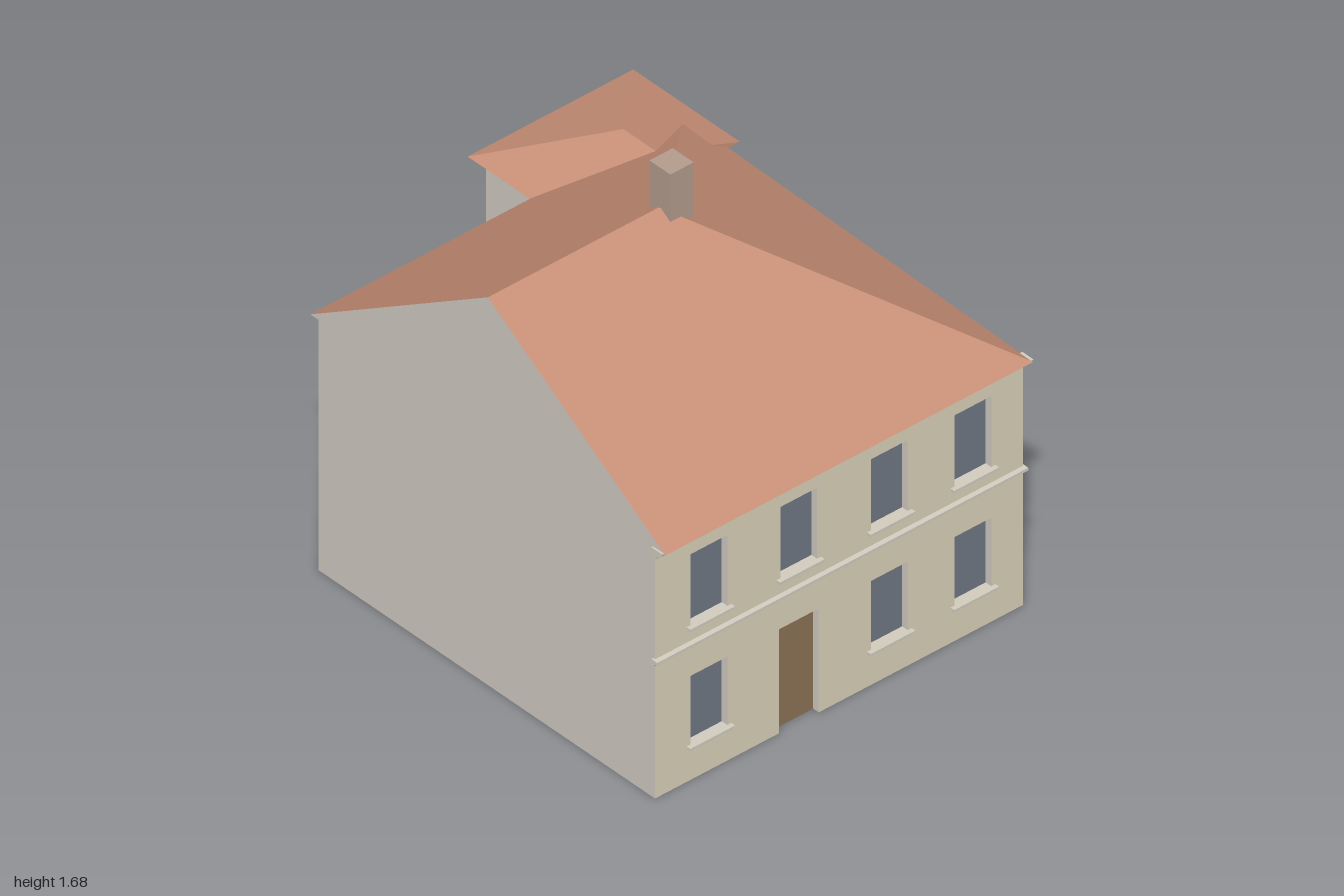
import * as THREE from 'three';

const mat = (color) => new THREE.MeshStandardMaterial({ color, flatShading: true });

// Closed faceted solid from corner points and convex faces (counter-clockwise from outside)
function facets(points, faces) {
  const pos = [];
  for (const f of faces)
    for (let i = 1; i < f.length - 1; i++)
      for (const k of [f[0], f[i], f[i + 1]]) pos.push(...points[k]);
  const g = new THREE.BufferGeometry();
  g.setAttribute('position', new THREE.Float32BufferAttribute(pos, 3));
  g.computeVertexNormals();
  return g;
}

const shapeOf = (pts) => new THREE.Shape(pts.map(([x, y]) => new THREE.Vector2(x, y)));
const rectPath = (x0, y0, x1, y1) => shapeOf([[x0, y0], [x0, y1], [x1, y1], [x1, y0]]);

export function createModel() {
  const house = new THREE.Group();
  house.name = 'house';
  const front = mat(0xd8d0b8), side = mat(0xd0cbc2), roof = mat(0xc88f76);
  const trim = mat(0xd2ccbe), glass = mat(0x707784), wood = mat(0x8c7254), brick = mat(0xb39c8d);

  const add = (name, geometry, material) => {
    const m = new THREE.Mesh(geometry, material);
    m.name = name;
    house.add(m);
    return m;
  };
  const box = (name, x0, x1, y0, y1, z0, z1, material) => {
    const m = add(name, new THREE.BoxGeometry(x1 - x0, y1 - y0, z1 - z0), material);
    m.position.set((x0 + x1) / 2, (y0 + y1) / 2, (z0 + z1) / 2);
  };

  const eave = 0.987, left = -0.81, right = 0.74, wallZ = 0.95, recess = 0.03;

  // Walls: slightly skewed footprint with the rear wing, drawn as (x, -z)
  const plan = [[left, -wallZ + recess], [right, -wallZ + recess], [0.77, 0.945],
    [0.16, 0.96], [0.16, 0.66], [left, 0.66]];
  const walls = new THREE.ExtrudeGeometry(shapeOf(plan), { depth: eave, bevelEnabled: false });
  walls.rotateX(-Math.PI / 2);
  add('walls', walls, side);

  // Facade with a door notch and window openings
  const doorX = [-0.287, -0.12], doorTop = 0.41;
  const facade = shapeOf([[left, 0], [doorX[0], 0], [doorX[0], doorTop], [doorX[1], doorTop],
    [doorX[1], 0], [right, 0], [right, eave], [left, eave]]);
  const windowXs = [-0.66, -0.282, 0.1, 0.452], w = 0.155;
  const openings = [];
  windowXs.forEach((x, i) => {
    openings.push([x, 0.61, 0.89]);
    if (i !== 1) openings.push([x, 0.14, 0.41]);
  });
  for (const [x, y0, y1] of openings) facade.holes.push(rectPath(x, y0, x + w, y1));
  const facadeGeo = new THREE.ExtrudeGeometry(facade, { depth: recess, bevelEnabled: false });
  facadeGeo.translate(0, 0, wallZ - recess);
  add('facade', facadeGeo, [front, side]);

  // Window panes, sills and door
  const paneZ = wallZ - recess;
  for (const [x, y0, y1] of openings) {
    box('windowPane', x, x + w, y0, y1, paneZ - 0.01, paneZ + 0.003, glass);
    box('windowSill', x - 0.017, x + w + 0.017, y0 - 0.004, y0, wallZ - recess, wallZ + 0.018, trim);
    box('windowSill', x - 0.014, x + w + 0.014, y0 - 0.014, y0 - 0.004, wallZ - 0.01, wallZ + 0.014, trim);
  }
  box('door', doorX[0], doorX[1], 0, doorTop, paneZ - 0.01, paneZ + 0.003, wood);

  // Moulded bands: profile in (z, y) swept along x
  const band = (name, profile) => {
    const x0 = left - 0.007, x1 = right + 0.007;
    const g = new THREE.ExtrudeGeometry(shapeOf(profile.map(([z, y]) => [-z, y]).reverse()),
      { depth: x1 - x0, bevelEnabled: false });
    g.rotateY(Math.PI / 2);
    g.translate(x0, 0, 0);
    add(name, g, trim);
  };
  band('stringCourse', [[0.94, 0.525], [0.952, 0.525], [0.958, 0.535], [0.968, 0.537],
    [0.968, 0.548], [0.94, 0.55]]);
  band('cornice', [[0.94, 0.953], [0.962, 0.953], [0.964, 0.965], [0.975, 0.97],
    [0.99, 0.978], [0.994, 0.99], [0.94, 0.99]]);

  // Main roof: gable on the left, hip on the right
  const mainPts = [[left, eave, 1], [right, eave, 1], [0.768, eave, -0.7], [left, eave, -0.7],
    [left, 1.53, 0.15], [-0.09, 1.53, 0.15]];
  add('mainRoof', facets(mainPts, [[0, 1, 5, 4], [1, 2, 5], [2, 3, 4, 5], [0, 3, 2, 1]]), roof);
  add('gableWall', facets(mainPts, [[0, 4, 3]]), side);

  // Rear wing roof: hip at the back, running into the main roof
  const wingPts = [[0.117, 0.985, -1], [0.815, 0.985, -1], [0.815, 0.985, -0.49],
    [0.117, 0.985, -0.49], [0.465, 1.118, -0.65], [0.465, 1.118, -0.49]];
  add('wingRoof', facets(wingPts,
    [[1, 0, 4], [2, 1, 4, 5], [0, 3, 5, 4], [3, 2, 5], [0, 1, 2, 3]]), roof);

  // Chimney
  box('chimney', -0.085, 0.013, 1.4, 1.685, 0.1, 0.2, brick);

  return house;
}
